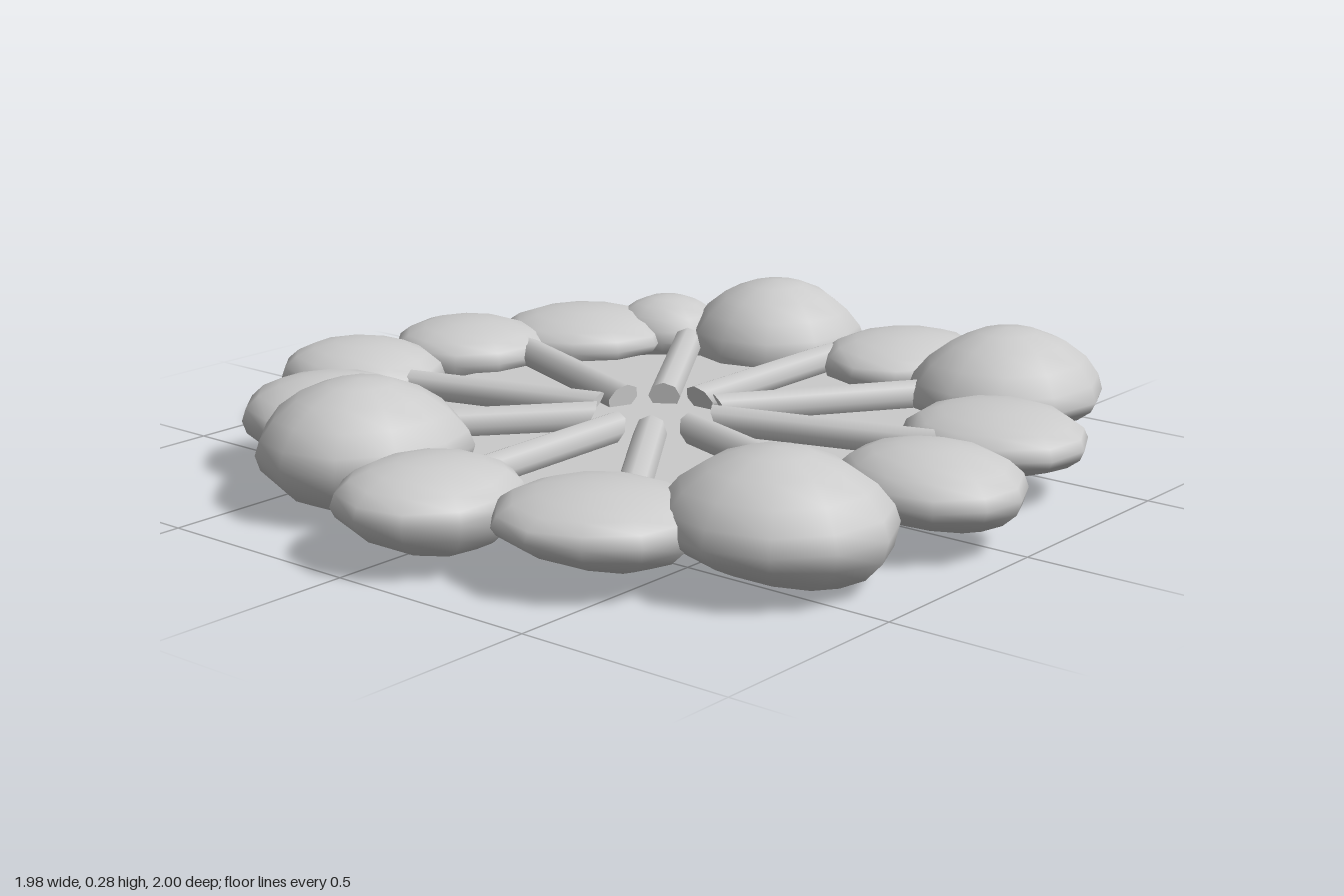
import * as THREE from 'three';
import { mergeVertices } from 'three/addons/utils/BufferGeometryUtils.js';

const MID = 0.125; // height of the widest part of the stones
const BED_Y = 0.105;
const LOG_ANGLES = [0, 33, 69, 106, 140, 181, 215, 252, 287, 325];

// centre x, centre z, half width, half depth, top, bottom
const STONES = [
  [-0.17, -0.79, 0.195, 0.21, 0.21, 0.03],
  [0.185, -0.765, 0.195, 0.195, 0.20, 0.04],
  [0.465, -0.63, 0.205, 0.21, 0.20, 0.04],
  [0.64, -0.495, 0.14, 0.145, 0.22, 0.05],
  [0.75, -0.225, 0.235, 0.22, 0.28, 0.0],
  [0.775, 0.15, 0.215, 0.19, 0.20, 0.03],
  [0.695, 0.50, 0.245, 0.22, 0.28, 0.02],
  [0.345, 0.695, 0.205, 0.215, 0.20, 0.04],
  [-0.05, 0.785, 0.19, 0.215, 0.22, 0.03],
  [-0.445, 0.685, 0.235, 0.245, 0.28, 0.0],
  [-0.665, 0.395, 0.21, 0.215, 0.20, 0.04],
  [-0.775, 0.035, 0.22, 0.195, 0.21, 0.03],
  [-0.605, -0.335, 0.245, 0.235, 0.28, 0.01],
  [-0.47, -0.58, 0.2, 0.2, 0.22, 0.04],
];

// Flattened, slightly lumpy stone shell, open underneath, its base dipping towards angle lean
function stoneGeometry(rx, rz, up, down, lean, seed) {
  const open = Math.PI * 0.8;
  const g = new THREE.SphereGeometry(1, 11, 8, 0, Math.PI * 2, 0, open);
  const p = g.attributes.position;
  const peak = 0.7 + 3.5 * up; // taller stones are more pointed
  for (let i = 0; i < p.count; i++) {
    const x = p.getX(i), y = p.getY(i), z = p.getZ(i);
    const side = 1.01 + 0.025 * Math.sin(3.1 * x + 2.3 * z + seed * 1.7);
    const lump = 1 + 0.14 * (1 - Math.abs(y)) * Math.sin(2.7 * x - 3.3 * z + seed * 2.3);
    const dip = 0.8 + 0.34 * (x * Math.cos(lean) + z * Math.sin(lean));
    const h = y > 0 ? Math.pow(y, peak) * up * lump : (y / -Math.cos(open)) * down * dip;
    p.setXYZ(i, x * rx * side, h, z * rz * side);
  }
  g.deleteAttribute('uv');
  g.deleteAttribute('normal');
  const merged = mergeVertices(g, 1e-4);
  merged.computeVertexNormals();
  return merged;
}

// Log lying along +x with a sloping cut at its inner end
function logGeometry() {
  const g = new THREE.CylinderGeometry(0.038, 0.038, 0.52, 8);
  g.rotateZ(Math.PI / 2);
  const p = g.attributes.position;
  for (let i = 0; i < p.count; i++) {
    if (p.getX(i) < 0) p.setX(i, p.getX(i) - 0.6 * p.getY(i));
  }
  g.translate(0.42, BED_Y + 0.022, 0);
  return g;
}

export function createModel() {
  const model = new THREE.Group();
  model.name = 'fireRing';
  const mat = new THREE.MeshStandardMaterial({ color: 0xcccccc, side: THREE.DoubleSide });

  // Thin round bed inside the ring
  const bed = new THREE.Mesh(new THREE.CircleGeometry(0.64, 20), mat);
  bed.name = 'bed';
  bed.rotation.x = -Math.PI / 2;
  bed.position.y = BED_Y;
  model.add(bed);

  // Logs radiating from the middle, partly sunk into the bed
  const logs = new THREE.Group();
  logs.name = 'logs';
  const logGeo = logGeometry();
  LOG_ANGLES.forEach((angle, i) => {
    const log = new THREE.Mesh(logGeo, mat);
    log.name = 'log' + (i + 1);
    log.rotation.y = THREE.MathUtils.degToRad(angle);
    logs.add(log);
  });
  model.add(logs);

  // Ring of stones, each leaning along the ring
  const ring = new THREE.Group();
  ring.name = 'stones';
  STONES.forEach(([x, z, rx, rz, top, bottom], i) => {
    const lean = Math.atan2(-x, z);
    const stone = new THREE.Mesh(stoneGeometry(rx, rz, top - MID, MID - bottom, lean, i + 1), mat);
    stone.name = 'stone' + (i + 1);
    stone.position.set(x, MID, z);
    ring.add(stone);
  });
  model.add(ring);

  return model;
}
